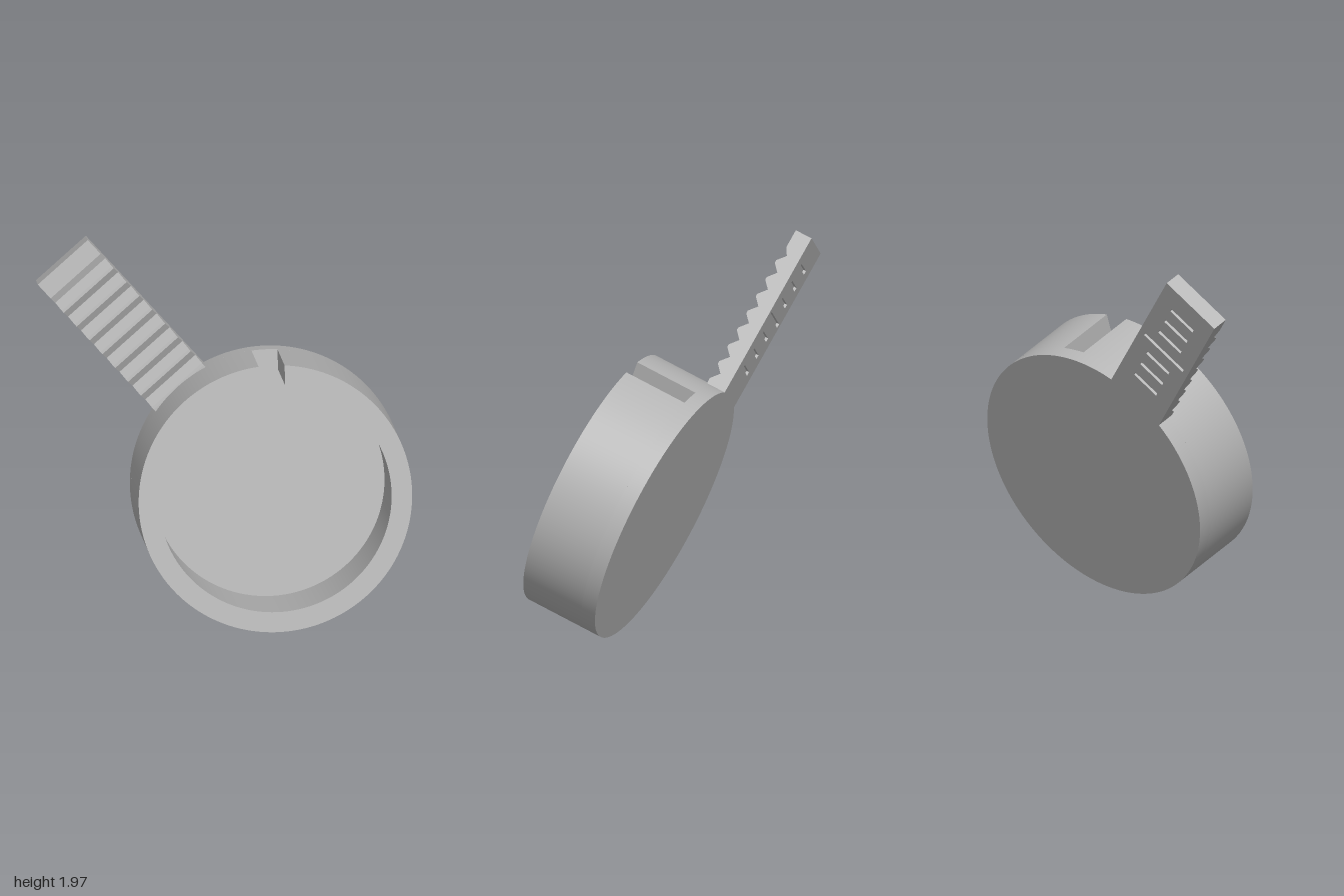
import * as THREE from 'three';
import { toCreasedNormals } from 'three/addons/utils/BufferGeometryUtils.js';

const R = 0.706, INNER = 0.6, HEIGHT = 0.426, FLOOR = 0.08;
const WIDTH = 0.345, TIP = 1.6, ROOT = 0.565, THICK = 0.093, GROOVE = 0.015;

export function createModel() {
  const grey = new THREE.MeshStandardMaterial({ color: 0xb4b4b4 });
  grey.name = 'grey';
  const model = new THREE.Group();
  model.name = 'measuringScoop';

  const add = (name, geometry) => {
    const mesh = new THREE.Mesh(geometry, grey);
    mesh.name = name;
    model.add(mesh);
    return mesh;
  };
  const extrude = (shape, depth, curveSegments = 96) => toCreasedNormals(
    new THREE.ExtrudeGeometry(shape, { depth, bevelEnabled: false, curveSegments }), 0.5);

  // Cup floor
  const disc = new THREE.Shape();
  disc.absarc(0, 0, R, 0, Math.PI * 2);
  add('cupFloor', extrude(disc, FLOOR));

  // Cup wall, a ring broken by a parallel-sided slot
  const slotAngle = THREE.MathUtils.degToRad(50), half = 0.067;
  const outerGap = Math.asin(half / R), innerGap = Math.asin(half / INNER);
  const ring = new THREE.Shape();
  ring.absarc(0, 0, R, slotAngle + outerGap, slotAngle - outerGap + Math.PI * 2, false);
  ring.absarc(0, 0, INNER, slotAngle - innerGap + Math.PI * 2, slotAngle + innerGap, true);
  ring.closePath();
  add('cupWall', extrude(ring, HEIGHT - FLOOR)).position.z = FLOOR;

  // Handle with a saw-tooth grip, drawn as a side profile
  const profile = new THREE.Shape();
  profile.moveTo(ROOT, GROOVE);
  profile.lineTo(TIP, GROOVE);
  profile.lineTo(TIP, THICK);
  profile.lineTo(1.5, THICK);
  for (let i = 0; i < 8; i++) {
    const y = 1.5 - i * 0.1;
    profile.lineTo(y - 0.04, 0.068);
    profile.lineTo(y - 0.085, 0.106);
    profile.lineTo(y - 0.1, 0.106);
  }
  profile.lineTo(ROOT, THICK);
  profile.closePath();
  const grip = new THREE.ExtrudeGeometry(profile, { depth: WIDTH, bevelEnabled: false });
  grip.applyMatrix4(new THREE.Matrix4().makeBasis(
    new THREE.Vector3(0, 1, 0), new THREE.Vector3(0, 0, 1), new THREE.Vector3(1, 0, 0)));
  grip.translate(-WIDTH / 2, 0, 0);
  add('handleGrip', grip);

  // Handle back with seven slits, the middle one longest
  const rect = (path, w, y0, y1) => {
    path.moveTo(-w / 2, y0);
    path.lineTo(w / 2, y0);
    path.lineTo(w / 2, y1);
    path.lineTo(-w / 2, y1);
    path.closePath();
    return path;
  };
  const back = rect(new THREE.Shape(), WIDTH, ROOT, TIP);
  for (let i = -3; i <= 3; i++) {
    const y = 1.16 + i * 0.1;
    back.holes.push(rect(new THREE.Path(), i === 0 ? 0.28 : 0.16, y - 0.011, y + 0.011));
  }
  add('handleBack', extrude(back, GROOVE));

  // Tilt: z follows the cup axis, y runs out along the handle
  const axis = new THREE.Vector3(0.285, 0.317, 0.905).normalize();
  const along = new THREE.Vector3(-0.68, 0.73, -0.042);
  along.addScaledVector(axis, -along.dot(axis)).normalize();
  const across = new THREE.Vector3().crossVectors(along, axis);
  model.quaternion.setFromRotationMatrix(new THREE.Matrix4().makeBasis(across, along, axis));
  model.position.set(0.2, 0.67, -0.195);

  const root = new THREE.Group();
  root.name = 'model';
  root.add(model);
  return root;
}
